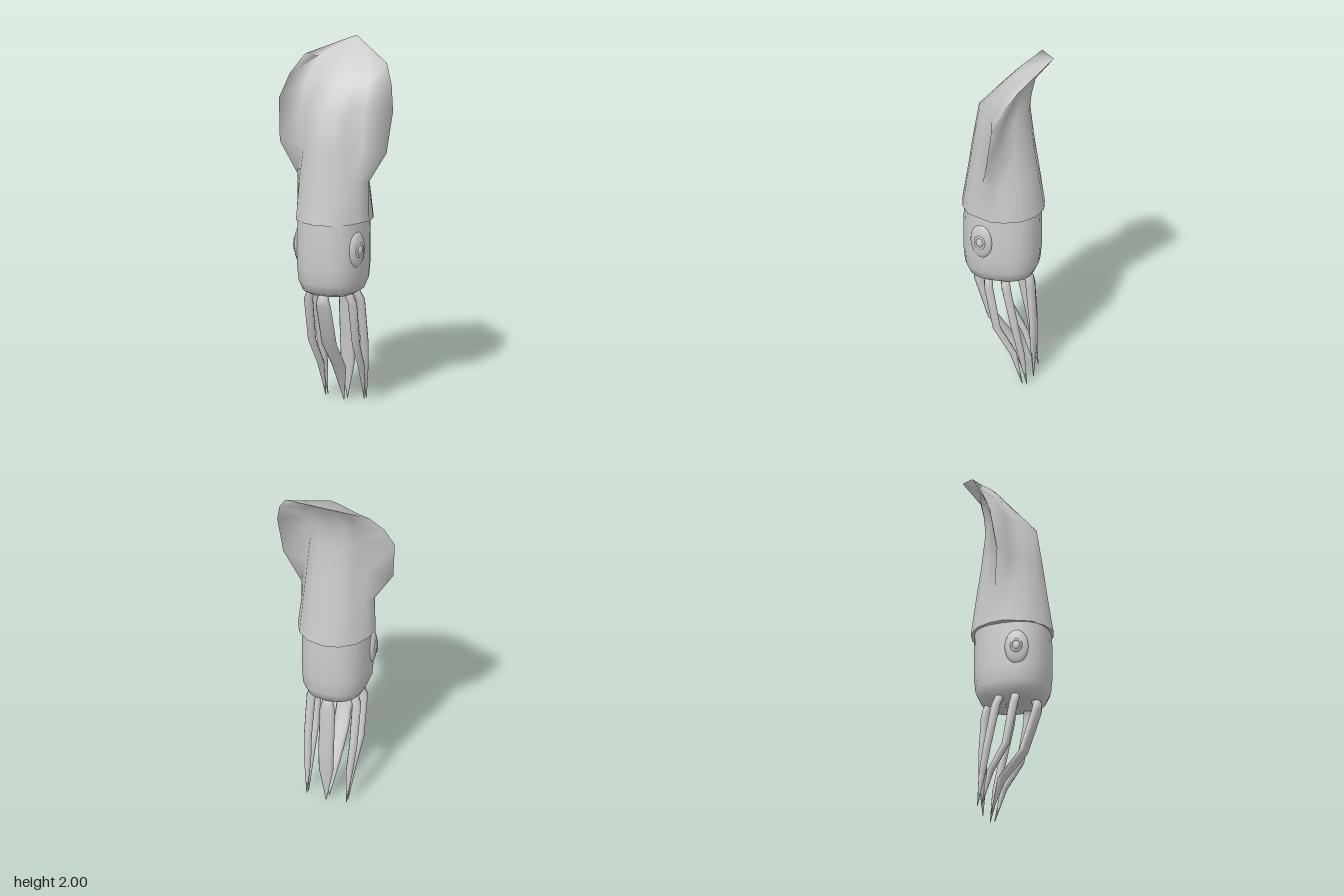
import * as THREE from 'three';

const material = new THREE.MeshStandardMaterial({ color: 0xcccccc, side: THREE.DoubleSide });

// Skin closed rings of [x, y, z] points, listed from bottom to top
function loft(rings) {
  const n = rings[0].length, index = [];
  for (let i = 0; i < rings.length - 1; i++) {
    for (let j = 0; j < n; j++) {
      const a = i * n + j, b = i * n + (j + 1) % n;
      index.push(a, b, b + n, a, b + n, a + n);
    }
  }
  const geometry = new THREE.BufferGeometry();
  geometry.setAttribute('position', new THREE.Float32BufferAttribute(rings.flat(2), 3));
  geometry.setIndex(index);
  geometry.computeVertexNormals();
  return geometry;
}

// Horizontal ring; power < 1 makes it boxier than an ellipse
function oval(x, y, z, rx, rz, sides, power = 1) {
  const soft = v => Math.sign(v) * Math.abs(v) ** power;
  return Array.from({ length: sides }, (_, i) => {
    const a = i / sides * Math.PI * 2;
    return [x + rx * soft(Math.sin(a)), y, z + rz * soft(Math.cos(a))];
  });
}

// Complete a half section (front centre, +x side, back centre) by mirroring
function mirrorRing(half) {
  return [...half, ...half.slice(1, -1).reverse().map(([x, y, z]) => [-x, y, z])];
}

function add(parent, name, geometry) {
  const mesh = new THREE.Mesh(geometry, material);
  mesh.name = name;
  parent.add(mesh);
  return mesh;
}

// Mantle half sections: front y, edge y, back y, then [x, z] from front to fin edge to back
const mantleRows = [
  [1.05, 1.05, 1.05, [[0, .255], [.08, .23], [.155, .18], [.19, .1], [.215, .035], [.205, -.04], [.165, -.125], [.09, -.185], [0, -.205]]],
  [1.27, 1.27, 1.27, [[0, .22], [.075, .2], [.148, .15], [.18, .09], [.214, .035], [.185, -.02], [.15, -.1], [.085, -.155], [0, -.173]]],
  [1.44, 1.44, 1.44, [[0, .196], [.07, .175], [.14, .12], [.185, .06], [.32, .035], [.175, -.005], [.14, -.08], [.08, -.13], [0, -.148]]],
  [1.66, 1.67, 1.64, [[0, .16], [.065, .14], [.13, .09], [.19, .04], [.342, 0], [.165, -.03], [.12, -.075], [.07, -.108], [0, -.12]]],
  [1.8, 1.8, 1.76, [[0, .036], [.06, .025], [.12, .005], [.18, -.02], [.305, -.06], [.15, -.075], [.1, -.1], [.05, -.125], [0, -.135]]],
  [1.92, 1.9, 1.86, [[0, -.07], [.05, -.078], [.1, -.09], [.15, -.105], [.245, -.127], [.13, -.13], [.08, -.14], [.04, -.15], [0, -.157]]],
  [2, 2, 2, Array(9).fill([0, -.26])],
];

function mantleRing([front, edge, back, points]) {
  return mirrorRing(points.map(([x, z], i) => {
    const y = i < 4 ? front + (edge - front) * i / 4 : edge + (back - edge) * (i - 4) / 4;
    return [x, y, z];
  }));
}

// Tapering arm along [x, y, z, rx, rz] stations, tip first
function arm(path) {
  return loft(path.map(([x, y, z, rx, rz]) => oval(x, y, z, rx, rz, 8)));
}

export function createModel() {
  const group = new THREE.Group();
  group.name = 'squid';

  // Pointed mantle with swept side fins
  const rings = mantleRows.map(mantleRing);
  add(group, 'mantle', loft(rings));
  const inner = rings[0].map(([x, y, z]) => [x * .8, y, .025 + (z - .025) * .8]);
  add(group, 'mantleRim', loft([inner, rings[0]]));

  // Head
  const profile = [[.635, 0], [.635, .65], [.655, .84], [.71, .96], [.8, 1], [.95, 1], [1.1, .98]];
  add(group, 'head', loft(profile.map(([y, s]) => oval(0, y, .027, .184 * s, .209 * s, 20, .8))));
  const beak = add(group, 'beak', new THREE.ConeGeometry(.06, .06, 8));
  beak.rotation.x = Math.PI;
  beak.position.set(0, .63, .02);

  // Eyes: raised socket, rim and ball
  for (const side of [1, -1]) {
    const eye = new THREE.Group();
    eye.name = side > 0 ? 'leftEye' : 'rightEye';
    eye.position.set(side * .172, .9, .1);
    eye.rotation.y = side * (Math.PI / 2 - .2);
    const socket = add(eye, 'socket', new THREE.SphereGeometry(1, 14, 10));
    socket.scale.set(.065, .1, .024);
    const rim = add(eye, 'rim', new THREE.TorusGeometry(.028, .007, 6, 12));
    rim.scale.y = 1.2;
    rim.position.z = .021;
    const ball = add(eye, 'eyeball', new THREE.SphereGeometry(1, 12, 8));
    ball.scale.set(.022, .028, .012);
    ball.position.z = .02;
    group.add(eye);
  }

  // Wide middle arms
  add(group, 'frontArm', arm([
    [0, 0, -.1, .002, .002], [0, .2, -.04, .042, .018], [0, .35, .085, .045, .022],
    [0, .58, .16, .045, .026], [0, .62, .165, .035, .026], [0, .67, .14, .03, .025]]));
  add(group, 'backArm', arm([
    [0, 0, -.145, .002, .002], [0, .2, -.148, .042, .018], [0, .35, -.145, .045, .022],
    [0, .58, -.128, .045, .026], [0, .62, -.12, .035, .026], [0, .67, -.1, .03, .025]]));

  // Paired side arms
  for (const side of [1, -1]) {
    const label = side > 0 ? 'left' : 'right';
    const sideArm = (name, zs) => {
      const stations = [[.115, .01, .002], [.122, .2, .02], [.132, .35, .023],
        [.132, .59, .026], [.115, .63, .025], [.095, .68, .025]];
      add(group, label + name, arm(stations.map(([x, y, r], i) => [side * x, y, zs[i], r, r])));
    };
    sideArm('FrontArm', [-.115, -.065, .025, .07, .075, .07]);
    sideArm('RearArm', [-.14, -.11, -.08, -.03, -.02, -.015]);
  }
  return group;
}
